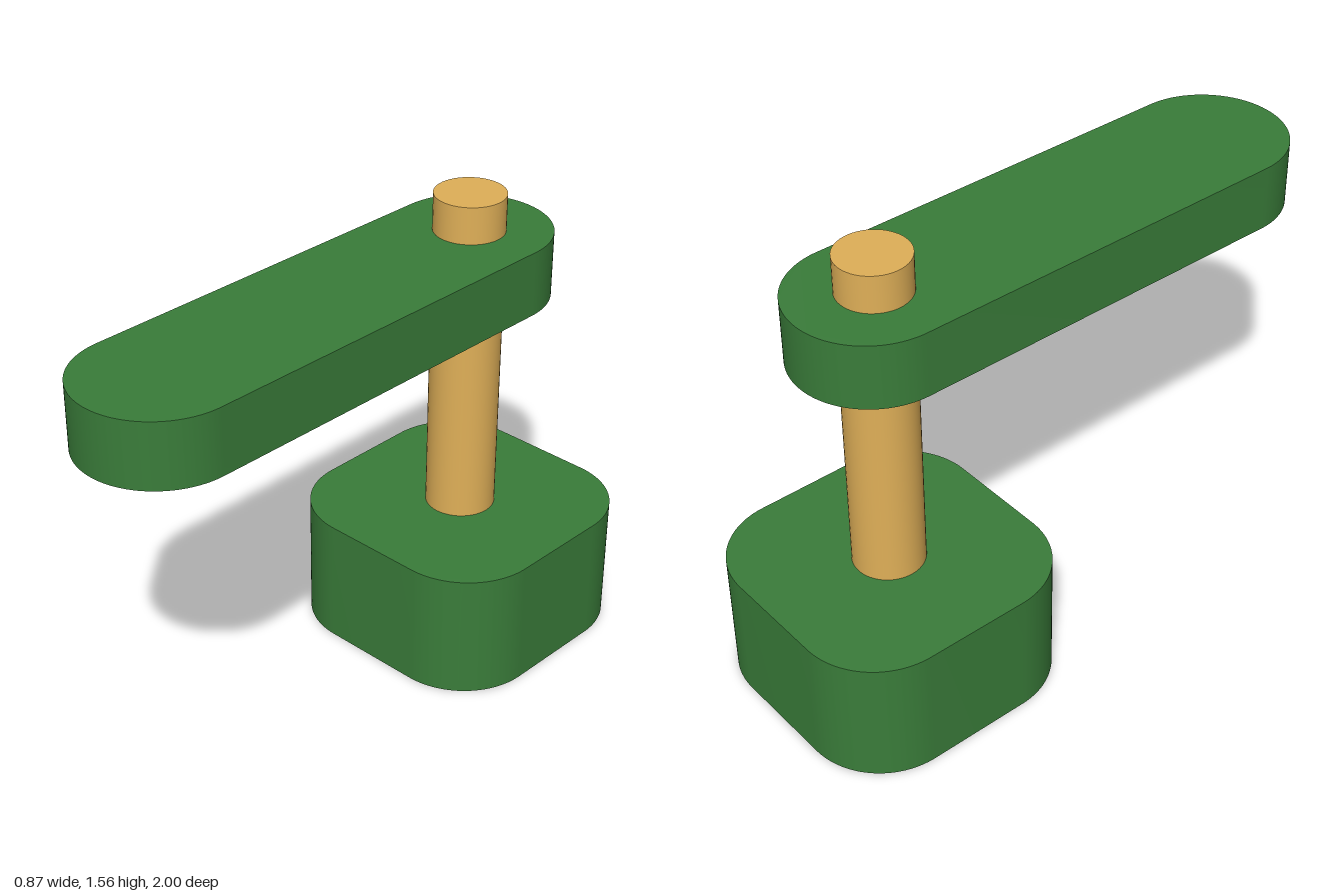
import * as THREE from 'three';
import { toCreasedNormals } from 'three/addons/utils/BufferGeometryUtils.js';

// Upright slab with a rounded-rectangle footprint, spanning x = +-halfWidth and z0..z1
function roundedSlab(halfWidth, z0, z1, radius, y0, y1) {
  const w = halfWidth, r = radius, a = -z1, b = -z0; // shape y becomes -z
  const s = new THREE.Shape();
  s.absarc(w - r, a + r, r, -Math.PI / 2, 0);
  s.absarc(w - r, b - r, r, 0, Math.PI / 2);
  s.absarc(-w + r, b - r, r, Math.PI / 2, Math.PI);
  s.absarc(-w + r, a + r, r, Math.PI, Math.PI * 1.5);
  s.closePath();
  const g = new THREE.ExtrudeGeometry(s, { depth: y1 - y0, bevelEnabled: false, curveSegments: 16 });
  g.rotateX(-Math.PI / 2);
  g.translate(0, y0, 0);
  return toCreasedNormals(g, Math.PI / 6);
}

export function createModel() {
  const green = new THREE.MeshStandardMaterial({ name: 'green', color: 0x3a7d3a });
  const tan = new THREE.MeshStandardMaterial({ name: 'tan', color: 0xe0b058 });
  const model = new THREE.Group();
  model.name = 'crank';

  const add = (name, geometry, material) => {
    const mesh = new THREE.Mesh(geometry, material);
    mesh.name = name;
    model.add(mesh);
    return mesh;
  };

  // Rounded block at the bottom
  add('base', roundedSlab(0.436, -1, -0.127, 0.26, 0, 0.436), green);

  // Long arm with semicircular ends
  add('arm', roundedSlab(0.259, -0.835, 1, 0.2589, 1.22, 1.438), green);

  // Round post rising from the base through the arm
  const y0 = 0.4, y1 = 1.563;
  const post = add('post', new THREE.CylinderGeometry(0.117, 0.117, y1 - y0, 48), tan);
  post.position.set(0, (y0 + y1) / 2, -0.563);

  return model;
}
